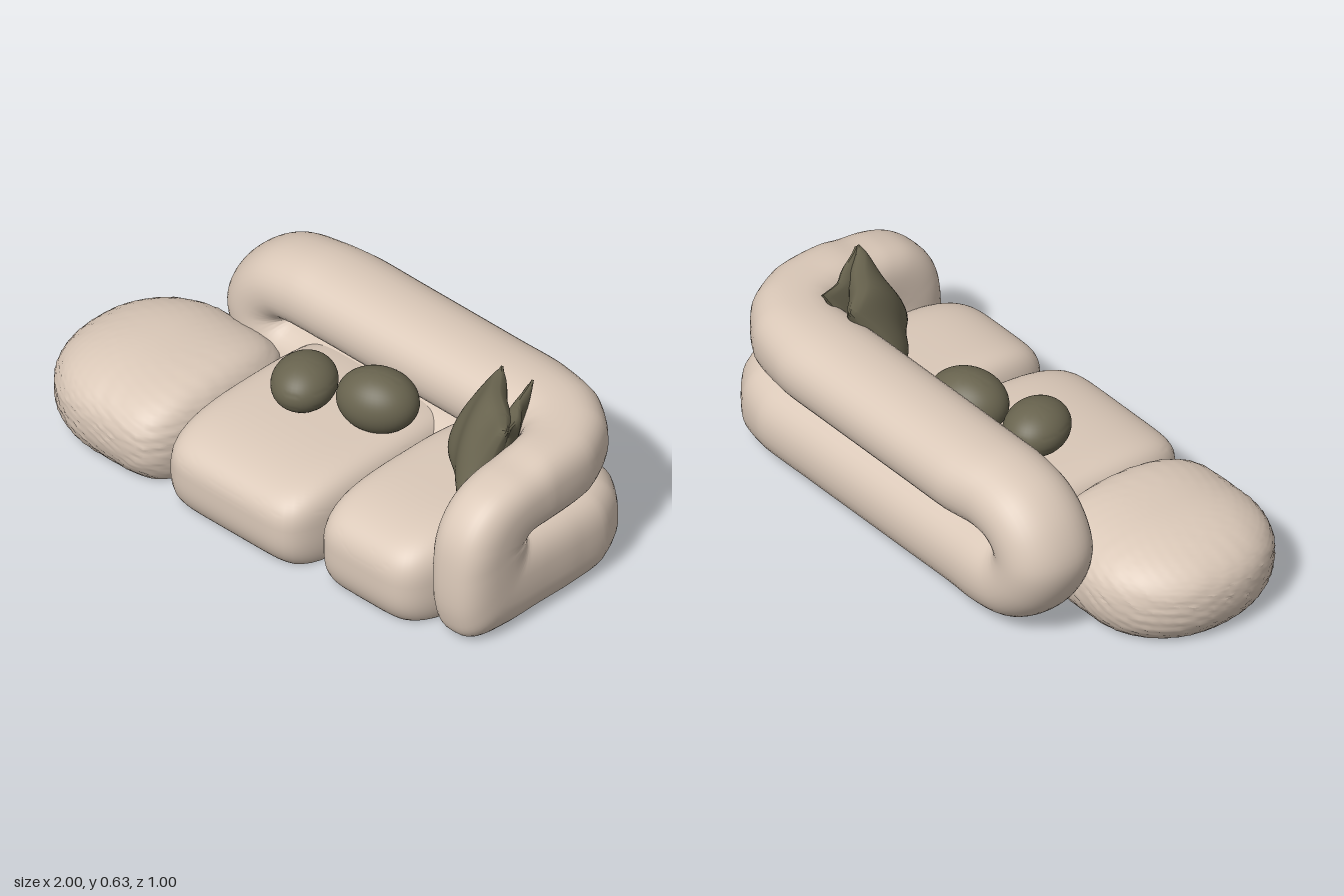
import * as THREE from 'three';
import { mergeVertices, toCreasedNormals } from 'three/addons/utils/BufferGeometryUtils.js';

const V = (x, y, z) => new THREE.Vector3(x, y, z);
const fabric = new THREE.MeshStandardMaterial({ color: 0xdac8b8 });
fabric.name = 'beige fabric';
const olive = new THREE.MeshStandardMaterial({ color: 0x69644f });
olive.name = 'olive fabric';

// Move every vertex of a geometry by a rule, then weld and smooth it
function reshape(geo, rule) {
  geo.deleteAttribute('uv');
  geo.deleteAttribute('normal');
  const p = geo.attributes.position;
  const v = V(0, 0, 0);
  for (let i = 0; i < p.count; i++) {
    v.fromBufferAttribute(p, i);
    rule(v);
    p.setXYZ(i, v.x, v.y, v.z);
  }
  return toCreasedNormals(mergeVertices(geo, 1e-5), 0.8);
}

function mesh(name, geo, mat) {
  const m = new THREE.Mesh(geo, mat);
  m.name = name;
  return m;
}

// Closed padded roll: each station has an outer point, an inner point and a sideways half-width
function rollGeometry() {
  const outer = [], inner = [], side = [];
  const seam = 0.312, armX = 0.875, armW = 0.123;
  const add = (o, i, s) => { outer.push(o); inner.push(i); side.push(s); };
  const atBack = (xo, yo, xi, z, w) => add(V(xo, yo, z), V(xi, seam, z), V(0, 0, -w));
  const atArm = (zo, yo, zi) => add(V(armX, yo, zo), V(armX, seam, zi), V(armW, 0, 0));
  const corner = (u, r, z, yo) => {
    const x = armX - r * (1 - u) ** 2, zz = z + r * u * u;
    const w = 0.178 + (armW - 0.178) * u, a = u * Math.PI / 2;
    add(V(x, yo, zz), V(x, seam, zz), V(Math.sin(a) * w, 0, -Math.cos(a) * w));
  };
  // upper roll along the back and round the corner
  for (const x of [-0.25, -0.05, 0.2, 0.4]) atBack(x, 0.59, x, -0.32, 0.18);
  for (const u of [0, 0.25, 0.5, 0.75, 1]) corner(u, 0.29, -0.32, 0.592 - 0.013 * u);
  // fold at the front of the arm
  const armFold = [[0.06, 0.562, 0.02], [0.15, 0.55, 0.04], [0.24, 0.52, 0.05], [0.31, 0.465, 0.057],
    [0.357, 0.39, 0.06], [0.38, 0.27, 0.06], [0.376, 0.1, 0.057],
    [0.34, 0.015, 0.05], [0.2, -0.012, 0.03], [0.05, -0.012, 0]];
  for (const s of armFold) atArm(...s);
  // lower roll back round the tighter corner
  for (const u of [1, 0.75, 0.5, 0.25, 0]) corner(u, 0.16, -0.3, -0.012 + 0.008 * (1 - u));
  for (const x of [0.5, 0.25, 0, -0.25]) atBack(x, -0.004, x, -0.305, 0.172);
  // fold at the far end of the back
  const backFold = [[-0.38, -0.002, -0.36], [-0.53, 0.03, -0.41], [-0.66, 0.14, -0.425],
    [-0.72, 0.3, -0.43], [-0.67, 0.44, -0.425], [-0.56, 0.54, -0.41], [-0.4, 0.585, -0.36]];
  for (const s of backFold) atBack(...s, -0.312, 0.17);

  const curves = [outer, inner].map((pts) => new THREE.CatmullRomCurve3(pts, true, 'centripetal'));
  const per = 6, rows = outer.length * per, cols = 40, pos = [], idx = [];
  for (let i = 0; i < rows; i++) {
    const [o, n] = curves.map((c) => c.getPoint(i / rows));
    const k = Math.floor(i / per);
    const s = side[k].clone().lerp(side[(k + 1) % side.length], (i % per) / per);
    const mid = o.clone().add(n).multiplyScalar(0.5);
    const half = o.clone().sub(n).multiplyScalar(0.5);
    // round along the back, squarer on the arm
    const power = 2 / (2.15 + 0.5 * s.x / armW);
    const soft = (c) => Math.sign(c) * Math.abs(c) ** power;
    for (let j = 0; j < cols; j++) {
      const a = j / cols * Math.PI * 2;
      const p = mid.clone().addScaledVector(half, soft(Math.cos(a))).addScaledVector(s, soft(Math.sin(a)));
      pos.push(p.x, Math.max(0, p.y), p.z);
      const i2 = (i + 1) % rows, j2 = (j + 1) % cols;
      const A = i * cols + j, B = i2 * cols + j, C = i2 * cols + j2, D = i * cols + j2;
      idx.push(A, B, D, B, C, D);
    }
  }
  const g = new THREE.BufferGeometry();
  g.setAttribute('position', new THREE.Float32BufferAttribute(pos, 3));
  g.setIndex(idx);
  return toCreasedNormals(g, 0.8);
}

// Puffy seat with a flat base; powers set the squareness to the left, right, depth and height
function seat(name, [x0, x1], [z0, z1], top, [pl, pr, pz, py], bump = 0) {
  const hx = (x1 - x0) / 2, hz = (z1 - z0) / 2, mid = 0.15;
  const geo = reshape(new THREE.SphereGeometry(1, 96, 72), (v) => {
    const px = v.x < 0 ? pl : pr;
    // find where the ray through this vertex meets the rounded form
    let lo = 0.9, hi = 1.8;
    for (let i = 0; i < 28; i++) {
      const k = (lo + hi) / 2;
      const sum = Math.abs(v.x * k) ** px + Math.abs(v.y * k) ** py + Math.abs(v.z * k) ** pz;
      if (sum < 1) lo = k; else hi = k;
    }
    // fine wrinkling round the sides
    const grain = Math.sin(v.x * 33 + v.y * 9) * Math.sin(v.y * 38 + v.z * 7) * Math.sin(v.z * 35 + v.x * 8);
    const k = lo * (1 + bump * (1 - v.y * v.y) * grain);
    const up = v.y > 0 ? top - mid : 0.23;
    v.set((x0 + x1) / 2 + v.x * k * hx, Math.max(0, mid + v.y * k * up), (z0 + z1) / 2 + v.z * k * hz);
  });
  return mesh(name, geo, fabric);
}

// Rounded scatter pillow
function ball(name, centre, half, turn) {
  const geo = reshape(new THREE.SphereGeometry(1, 40, 28), (v) => v.multiply(half));
  const m = mesh(name, geo, olive);
  m.position.copy(centre);
  m.rotation.y = turn;
  return m;
}

// Square cushion spanned by its bottom edge (a to b) and top edge (d to c), with pinched corners
function cushion(name, a, b, c, d, thick, pinch) {
  const across = b.clone().sub(a), upward = d.clone().sub(a);
  const normal = across.cross(upward).normalize();
  const geo = reshape(new THREE.BoxGeometry(2, 2, 2, 24, 24, 1), (p) => {
    const { x, y, z } = p;
    const u = (x * (1 - pinch * (1 - y * y)) + 1) / 2;
    const w = (y * (1 - pinch * (1 - x * x)) + 1) / 2;
    const t = 0.004 + thick * ((1 - x * x) * (1 - y * y)) ** 0.45;
    const wave = 0.006 * Math.sin(x * 5 + y * 3);
    p.lerpVectors(a, b, u).lerp(d.clone().lerp(c, u), w).addScaledVector(normal, z * t + wave);
  });
  return mesh(name, geo, olive);
}

export function createModel() {
  const sofa = new THREE.Group();
  sofa.name = 'sofa';
  sofa.add(
    mesh('backAndArmRoll', rollGeometry(), fabric),
    seat('roundSeat', [-1, -0.335], [-0.215, 0.495], 0.335, [2.1, 6, 2.2, 2.4], 0.012),
    seat('middleSeat', [-0.375, 0.307], [-0.4, 0.492], 0.314, [8, 8, 3, 2.8]),
    seat('cornerSeat', [0.298, 0.808], [-0.4, 0.45], 0.333, [7, 4.5, 3.2, 2.8]),
    ball('smallRoundPillow', V(-0.1, 0.383, 0.045), V(0.11, 0.09, 0.13), 0.4),
    ball('largeRoundPillow', V(0.15, 0.39, -0.045), V(0.143, 0.11, 0.116), 0.35),
    cushion('frontCushion', V(0.43, 0.33, -0.1), V(0.71, 0.32, 0.13), V(0.805, 0.625, 0.01), V(0.525, 0.62, -0.24), 0.065, 0.07),
    cushion('rearCushion', V(0.58, 0.33, -0.15), V(0.74, 0.33, 0.08), V(0.805, 0.625, 0), V(0.655, 0.625, -0.25), 0.03, 0.14),
  );
  return sofa;
}
